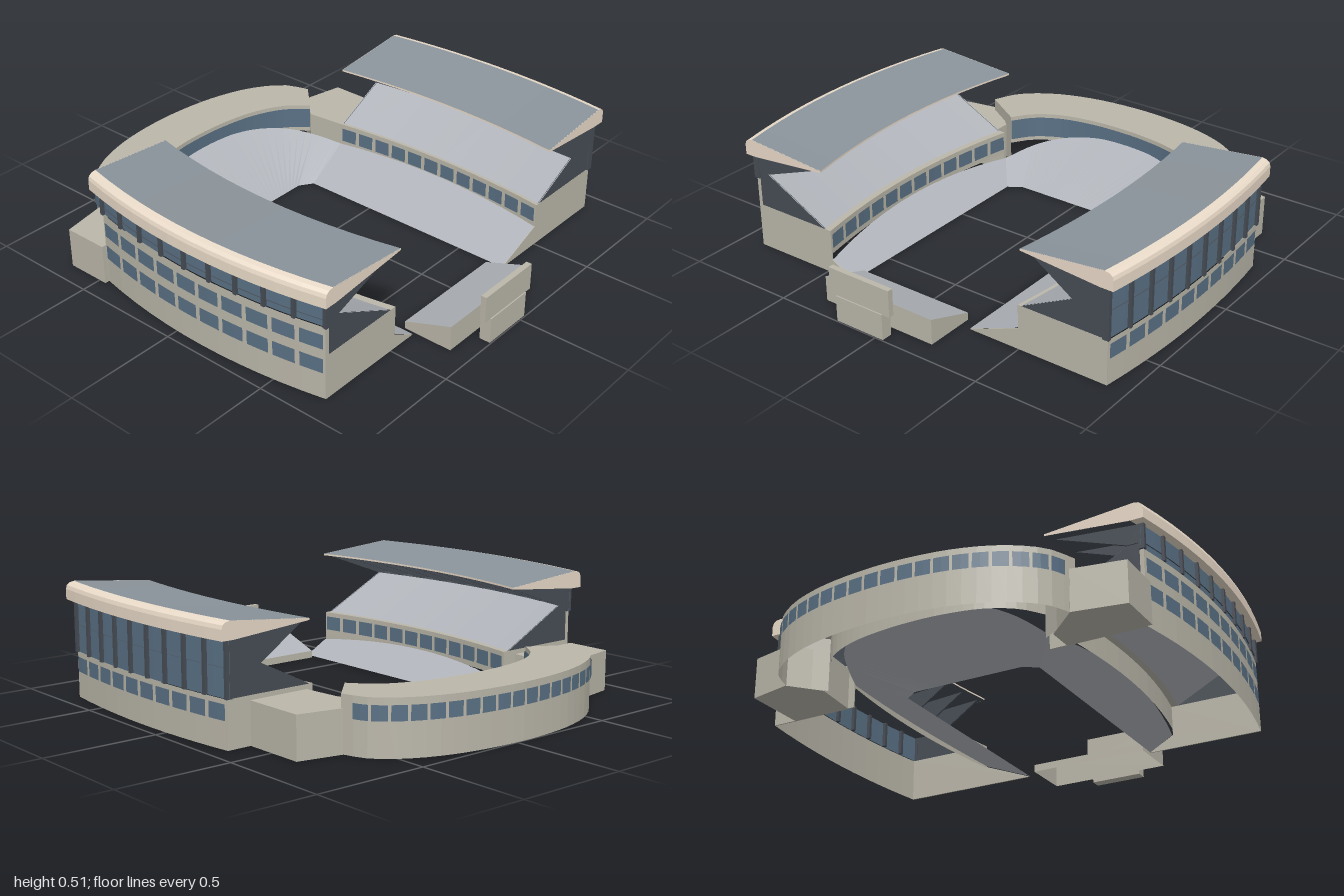
import * as THREE from 'three';

const material = (color) => new THREE.MeshStandardMaterial({ color, flatShading: true, side: THREE.DoubleSide });
const V = (x, y, z) => new THREE.Vector3(x, y, z);

export function createModel() {
  const model = new THREE.Group();
  const wall = material(0xbbb7aa), glass = material(0x5a7185), roofGrey = material(0x8b949b);
  const seats = material(0xb1b5bb), dark = material(0x474d55), cream = material(0xeadbc9);

  function add(parent, name, geometry, mat) {
    const mesh = new THREE.Mesh(geometry, mat);
    mesh.name = name;
    parent.add(mesh);
    return mesh;
  }

  // surface through a list of rails that all have the same number of points
  function surface(...rails) {
    const pos = [];
    for (let r = 0; r < rails.length - 1; r++) {
      const a = rails[r], b = rails[r + 1];
      for (let i = 0; i < a.length - 1; i++) {
        for (const p of [a[i], b[i], b[i + 1], a[i], b[i + 1], a[i + 1]]) pos.push(p.x, p.y, p.z);
      }
    }
    const g = new THREE.BufferGeometry();
    g.setAttribute('position', new THREE.Float32BufferAttribute(pos, 3));
    g.computeVertexNormals();
    return g;
  }

  // upright plate across the stand, outlined by [z, y] points
  function plate(points, x, thickness) {
    const shape = new THREE.Shape(points.map(([z, y]) => new THREE.Vector2(z, y)));
    const g = new THREE.ExtrudeGeometry(shape, { depth: thickness, bevelEnabled: false });
    return g.rotateY(-Math.PI / 2).translate(x + thickness / 2, 0, 0);
  }

  // block with a plan outline of [x, z] points
  function block(points, height) {
    const shape = new THREE.Shape(points.map(([x, z]) => new THREE.Vector2(x, -z)));
    return new THREE.ExtrudeGeometry(shape, { depth: height, bevelEnabled: false }).rotateX(-Math.PI / 2);
  }

  // Main stands: z values are measured at the middle of the gentle bow
  function stand(o) {
    const group = new THREE.Group();
    group.name = o.name;
    model.add(group);
    const bow = (x) => o.k * (x - o.cx) ** 2;
    const at = (x, z, y) => V(x, y, o.s * (z - bow(x)));
    const rail = (z, y, x0 = o.x0, x1 = o.x1, n = 12) =>
      Array.from({ length: n + 1 }, (_, i) => at(x0 + (x1 - x0) * i / n, z, y));
    const sweep = (name, pts, mat, x0, x1) =>
      add(group, name, surface(...pts.map(([z, y]) => rail(z, y, x0, x1))), mat);
    const section = (name, pts, x, t, mat) =>
      add(group, name, plate(pts.map(([z, y]) => [o.s * (z - bow(x)), y]), x, t), mat);
    const windows = (name, count, z, y0, y1, gap) => {
      const step = (o.x1 - o.x0) / count;
      for (let i = 0; i < count; i++) {
        const a = o.x0 + step * i + gap / 2, b = a + step - gap;
        add(group, name, surface(rail(z, y0, a, b, 2), rail(z, y1, a, b, 2)), glass);
      }
    };
    const [seatZ, seatY] = o.seatTop;

    // walls, tiers and boxes
    sweep('facade', [[o.outer, 0], [o.outer, o.wallTop]], wall);
    sweep('upperGlazing', [[o.outer - 0.005, o.wallTop], [o.outer - 0.005, o.eave]], glass, o.x0 - 0.01);
    sweep('upperTier', [[o.seatFront, 0.2], [seatZ, seatY]], seats);
    sweep('rearDeck', [[seatZ, seatY], [o.outer, seatY]], dark);
    sweep('boxFront', [[0.54, 0.09], [0.54, 0.2], [o.seatFront, 0.2]], wall);
    for (const y of o.rows) windows('facadeWindow', 10, o.outer + 0.003, y, y + 0.065, 0.02);
    windows('boxWindow', 12, 0.537, 0.115, 0.18, 0.018);

    // end walls
    for (const [x, open] of [[o.x0 + 0.003, false], [o.x1 - 0.003, true]]) {
      const b = bow(x);
      const base = [[o.outer, 0], [o.outer, 0.2], [0.54, 0.2], [0.54, o.slope * (0.53 - b - o.pitch)]];
      base.push(open ? [o.pitch + b, 0] : [0.54, 0]);
      section('endWall', base, x, 0.006, wall);
      section('upperEndWall', [[o.outer - 0.01, 0.2], [o.outer - 0.01, o.eave], [o.tip + 0.02, o.tipY - 0.012],
        [seatZ, seatY], [o.seatFront, 0.2]], x, 0.005, dark);
      if (o.wallTop > 0.2) section('cornerPier', [[o.outer, 0.2], [o.outer, o.wallTop],
        [o.outer - 0.018, o.wallTop], [o.outer - 0.018, 0.2]], x, 0.006, wall);
    }

    // posts and roof brackets
    for (let i = 0; i < 10; i++) {
      const x = o.x0 + (o.x1 - o.x0) * i / 9;
      section('post', [[o.outer - 0.02, o.wallTop], [o.outer + 0.008, o.wallTop],
        [o.outer + 0.008, o.eave], [o.outer - 0.02, o.eave]], x, 0.016, dark);
      section('roofBracket', [[o.outer - 0.02, o.eave], [o.tip + 0.02, o.tipY - 0.012],
        [seatZ, seatY], [o.outer - 0.02, seatY]], x, 0.008, dark);
    }

    // roof with rounded fascia
    const e = o.edge, t = o.eave + 0.075;
    const top = [[o.tip, o.tipY], [e - 0.04, t]];
    const nose = [[e - 0.04, t], [e - 0.018, t - 0.004], [e - 0.005, t - 0.014], [e, t - 0.03], [e, o.eave], [e - 0.055, o.eave]];
    const under = [[e - 0.055, o.eave], [o.tip, o.tipY - 0.008]];
    sweep('roof', top, roofGrey, o.r0, 0.755);
    sweep('roofFascia', nose, cream, o.r0, 0.755);
    sweep('roofSoffit', under, dark, o.r0, 0.755);
    sweep('roofLip', [under[1], top[0]], cream, o.r0, 0.755);
    for (const x of [o.r0 + 0.001, 0.754]) section('roofEnd', [top[0], ...nose, under[1]], x, 0.002, cream);

    // lower tier rails, returned so that the curved end can join them
    const outerRail = rail(0.535, 0).map((p) => V(p.x, o.slope * (Math.abs(p.z) - o.pitch), p.z));
    const innerRail = outerRail.map((p) => V(Math.max(p.x, -0.33), 0.003, o.s * o.pitch));
    add(group, 'lowerTier', surface(outerRail, innerRail), seats);
    return outerRail[0];
  }

  const frontJoin = stand({
    name: 'frontStand', s: 1, k: 0.18, cx: 0.13, x0: -0.465, x1: 0.73, r0: -0.51, outer: 0.952, wallTop: 0.33,
    eave: 0.44, edge: 0.985, tip: 0.555, tipY: 0.485, seatTop: [0.885, 0.36], seatFront: 0.57,
    rows: [0.12, 0.23], pitch: 0.36, slope: 0.6,
  });
  const backJoin = stand({
    name: 'backStand', s: -1, k: 0.13, cx: 0.15, x0: -0.37, x1: 0.73, r0: -0.39, outer: 0.953, wallTop: 0.2,
    eave: 0.43, edge: 0.99, tip: 0.572, tipY: 0.467, seatTop: [0.795, 0.32], seatFront: 0.555,
    rows: [0.115], pitch: 0.26, slope: 0.41,
  });

  // Curved end
  const bend = (points) => new THREE.CatmullRomCurve3(points.map(([x, z]) => V(x, 0, z)));
  const raise = (pts, y) => pts.map((p) => V(p.x, y, p.z));
  const N = 28;

  // bowl seating joining both stands
  const bowlMid = bend([[frontJoin.x, frontJoin.z], [-0.6, 0.405], [-0.69, 0.31], [-0.745, 0.18], [-0.76, 0.05],
    [-0.75, -0.12], [-0.7, -0.28], [-0.6, -0.4], [-0.47, -0.465], [backJoin.x, backJoin.z]]).getPoints(36);
  const bowlOuter = bowlMid.map((p, i) => {
    const u = i / 36, ends = THREE.MathUtils.lerp(frontJoin.y, backJoin.y, u);
    return V(p.x, ends + (0.16 - ends) * Math.sin(Math.PI * u), p.z);
  });
  const corner = new THREE.CurvePath();
  const inner = [V(-0.33, 0.003, 0.36), V(-0.37, 0.003, 0.3), V(-0.37, 0.003, -0.2), V(-0.33, 0.003, -0.26)];
  for (let i = 0; i < 3; i++) corner.add(new THREE.LineCurve3(inner[i], inner[i + 1]));
  add(model, 'bowlSeating', surface(bowlOuter, corner.getSpacedPoints(36)), seats);

  // ring building
  const ring = new THREE.Group();
  ring.name = 'ringBuilding';
  model.add(ring);
  const ringOuter = bend([[-0.68, 0.7], [-0.8, 0.645], [-0.9, 0.52], [-0.965, 0.35], [-0.995, 0.15], [-0.995, -0.05],
    [-0.96, -0.28], [-0.89, -0.46], [-0.79, -0.58], [-0.68, -0.62]]);
  const ringInner = bend([[-0.56, 0.51], [-0.65, 0.445], [-0.72, 0.33], [-0.755, 0.17], [-0.762, 0.04],
    [-0.755, -0.1], [-0.72, -0.28], [-0.65, -0.42], [-0.56, -0.5]]);
  const out = ringOuter.getSpacedPoints(N), inn = ringInner.getSpacedPoints(N);
  add(ring, 'ringShell', surface(raise(out, 0), raise(out, 0.235), raise(inn, 0.235), raise(inn, 0.1)), wall);
  for (const i of [0, N]) {
    add(ring, 'ringEnd', surface([V(out[i].x, 0, out[i].z), V(inn[i].x, 0, inn[i].z)],
      [V(out[i].x, 0.235, out[i].z), V(inn[i].x, 0.235, inn[i].z)]), wall);
  }
  const shift = (p, f) => V(-0.3 + (p.x + 0.3) * f, 0, 0.04 + (p.z - 0.04) * f);
  const innerGlass = inn.map((p) => shift(p, 0.992));
  add(ring, 'innerGlazing', surface(raise(innerGlass, 0.12), raise(innerGlass, 0.218)), glass);
  for (let i = 0; i < 20; i++) {
    const pane = [0.08, 0.5, 0.92].map((f) => shift(ringOuter.getPointAt(0.03 + 0.94 * (i + f) / 20), 1.006));
    add(ring, 'ringWindow', surface(raise(pane, 0.145), raise(pane, 0.207)), glass);
  }

  // Corner blocks between the ring and the stands
  add(model, 'frontCornerBlock', block([[-0.71, 0.69], [-0.67, 0.91], [-0.465, 0.91], [-0.465, 0.55], [-0.575, 0.55]], 0.18), wall);
  add(model, 'backCornerBlock', block([[-0.69, -0.62], [-0.65, -0.81], [-0.37, -0.81], [-0.37, -0.535], [-0.57, -0.515]], 0.18), wall);

  // Sloped end seating
  const low = [V(0.68, 0.033, -0.21), V(0.68, 0.033, 0.345)], high = [V(0.905, 0.113, -0.21), V(0.905, 0.113, 0.345)];
  add(model, 'endSeating', surface(low, high), seats);
  const rim = [low[0], low[1], high[1], high[0], low[0]];
  add(model, 'endSeatingWalls', surface(raise(rim, 0), rim), wall);

  // Scoreboard
  add(model, 'scoreboardBase', new THREE.BoxGeometry(0.05, 0.115, 0.24).translate(0.97, 0.0575, 0.085), wall);
  add(model, 'scoreboard', new THREE.BoxGeometry(0.025, 0.12, 0.31).translate(0.977, 0.172, 0.085), wall);

  return model;
}
